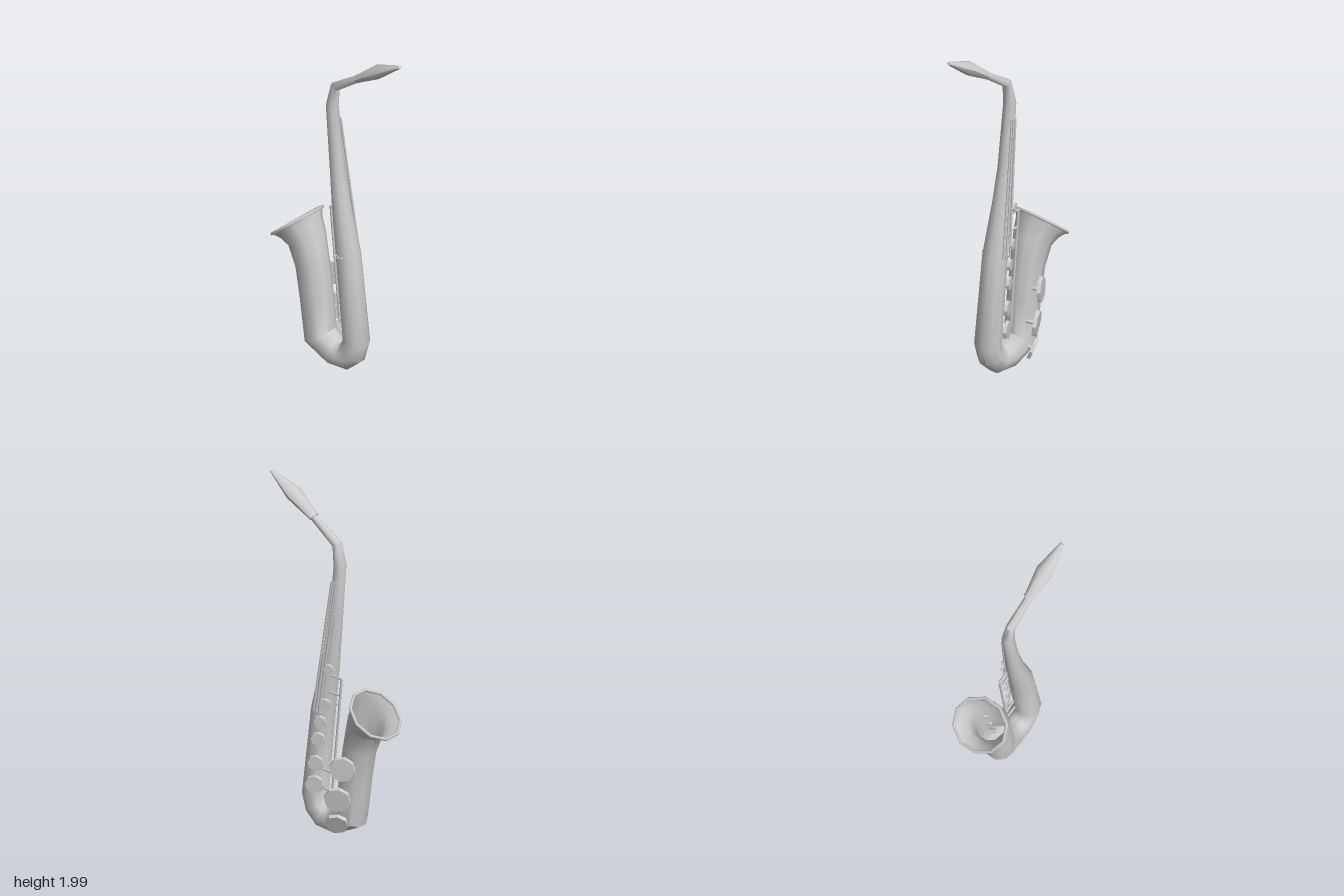
import * as THREE from 'three';
import { toCreasedNormals } from 'three/addons/utils/BufferGeometryUtils.js';

const SIDES = 10;
const material = new THREE.MeshStandardMaterial({ color: 0xcccccc, side: THREE.DoubleSide });
const V = (x, y, z) => new THREE.Vector3(x, y, z);

// Skin a tube through rings [z, y, radius] lying in the plane x = 0
function tube(rings, { stretchX = 1, capStart = false, capEnd = false, endDir = null } = {}) {
  const centres = rings.map(([z, y]) => V(0, y, z));
  const last = rings.length - 1;
  const positions = [], index = [];
  centres.forEach((c, i) => {
    const t = V(0, 0, 0);
    if (i > 0) t.add(c.clone().sub(centres[i - 1]).normalize());
    if (i < last) t.add(centres[i + 1].clone().sub(c).normalize());
    if (i === last && endDir) t.copy(endDir);
    t.normalize();
    const r = rings[i][2];
    for (let j = 0; j < SIDES; j++) {
      const a = (j / SIDES) * Math.PI * 2, s = r * Math.sin(a);
      positions.push(r * stretchX * Math.cos(a), c.y + s * t.z, c.z - s * t.y);
    }
  });
  for (let i = 0; i < last; i++) {
    for (let j = 0; j < SIDES; j++) {
      const k = (j + 1) % SIDES;
      const a = i * SIDES + j, b = i * SIDES + k, c = b + SIDES, d = a + SIDES;
      index.push(a, b, c, a, c, d);
    }
  }
  const cap = (i, flip) => {
    const n = positions.length / 3;
    positions.push(...centres[i].toArray());
    for (let j = 0; j < SIDES; j++) {
      const a = i * SIDES + j, b = i * SIDES + (j + 1) % SIDES;
      index.push(n, flip ? b : a, flip ? a : b);
    }
  };
  if (capStart) cap(0, true);
  if (capEnd) cap(last, false);
  const g = new THREE.BufferGeometry();
  g.setAttribute('position', new THREE.Float32BufferAttribute(positions, 3));
  g.setIndex(index);
  return toCreasedNormals(g, 0.75);
}

export function createModel() {
  const model = new THREE.Group();
  model.name = 'saxophone';

  const add = (name, geometry) => {
    const mesh = new THREE.Mesh(geometry, material);
    mesh.name = name;
    model.add(mesh);
    return mesh;
  };
  const aim = (mesh, from, dir) => mesh.quaternion.setFromUnitVectors(from, dir.clone().normalize());

  // Thin rod between two points
  const rod = (name, a, b, r = 0.006) => {
    const d = b.clone().sub(a);
    const mesh = add(name, new THREE.CylinderGeometry(r, r, d.length(), 6));
    mesh.position.copy(a).lerp(b, 0.5);
    aim(mesh, V(0, 1, 0), d);
  };

  // Octagonal key pad facing a direction
  const pad = (name, centre, r, dir, thickness) => {
    const g = new THREE.CylinderGeometry(r * 0.95, r, thickness, 8);
    const mesh = add(name, toCreasedNormals(g.rotateY(Math.PI / 8), 0.5));
    mesh.position.copy(centre);
    aim(mesh, V(0, 1, 0), dir);
  };

  // Neck, conical body, bottom bow and flared bell as one tube
  const bellDir = V(0, 0.77, -0.64).normalize();
  add('body', tube([
    [0.13, 1.81, 0.02], [-0.037, 1.697, 0.027], [-0.058, 1.575, 0.035],
    [-0.022, 1.2, 0.041], [0.005, 1.0, 0.051], [0.057, 0.7, 0.069],
    [0.113, 0.2, 0.074], [0.09, 0.125, 0.076], [0.04, 0.08, 0.078],
    [-0.025, 0.077, 0.079], [-0.14, 0.143, 0.094], [-0.167, 0.36, 0.092],
    [-0.197, 0.555, 0.094], [-0.235, 0.69, 0.107], [-0.275, 0.748, 0.127],
    [-0.305, 0.776, 0.153],
  ], { capStart: true, endDir: bellDir }));

  // Rolled lip of the bell
  const lip = add('bellRim', new THREE.TorusGeometry(0.153, 0.009, 6, SIDES));
  lip.position.set(0, 0.776, -0.305);
  aim(lip, V(0, 0, 1), bellDir);
  lip.quaternion.setFromAxisAngle(V(1, 0, 0), -Math.atan2(bellDir.y, bellDir.z));

  // Mouthpiece, wider than it is thick
  add('mouthpiece', tube([
    [0.123, 1.806, 0.023], [0.135, 1.814, 0.023], [0.265, 1.903, 0.039], [0.42, 1.99, 0.009],
  ], { stretchX: 1.28, capStart: true, capEnd: true }));

  // Key pads down the side of the body: [y, z, x, radius]
  [
    [0.285, 0.05, 0.082, 0.053], [0.41, 0.045, 0.079, 0.045], [0.555, 0.03, 0.077, 0.04],
    [0.66, 0.02, 0.073, 0.034], [0.77, -0.008, 0.066, 0.032], [0.98, -0.027, 0.06, 0.028],
  ].forEach(([y, z, x, r]) => pad('bodyKey', V(x, y, z), r, V(0.88, 0, -0.45), 0.018));

  // Large key pads on the bell, with short stems
  [
    [0.455, -0.175, 0.118, 0.073, 0], [0.265, -0.14, 0.118, 0.075, -0.12], [0.115, -0.125, 0.105, 0.066, -0.4],
  ].forEach(([y, z, x, r, tilt]) => {
    const dir = V(0.85, tilt, -0.5);
    const centre = V(x, y, z);
    pad('bellKey', centre, r, dir, 0.02);
    rod('bellKeyStem', centre, centre.clone().addScaledVector(dir, -0.06), 0.012);
  });

  // Three long side rods, each ending in a pin that crosses the body
  for (let i = 0; i < 3; i++) {
    const bottom = V(0.076 - 0.003 * i, 0.71, 0.024 + 0.022 * i);
    rod('sideRod', V(0.038, 1.49, -0.062 + 0.015 * i), bottom);
    rod('crossPin', bottom, V(-0.08, 0.71, bottom.z));
  }

  // Guard rod behind the body with its four brackets
  const gx = 0.03;
  const guardZ = (y) => -0.03 - 0.065 * (y - 0.25) / 0.68;
  rod('guardRod', V(gx, 0.25, guardZ(0.25)), V(gx, 0.93, guardZ(0.93)), 0.007);
  [[0.25, 0.06], [0.36, 0.05], [0.83, 0.0], [0.93, -0.01]].forEach(([y, z]) =>
    rod('guardBracket', V(gx, y, z), V(gx, y, guardZ(y)), 0.007));

  return model;
}
